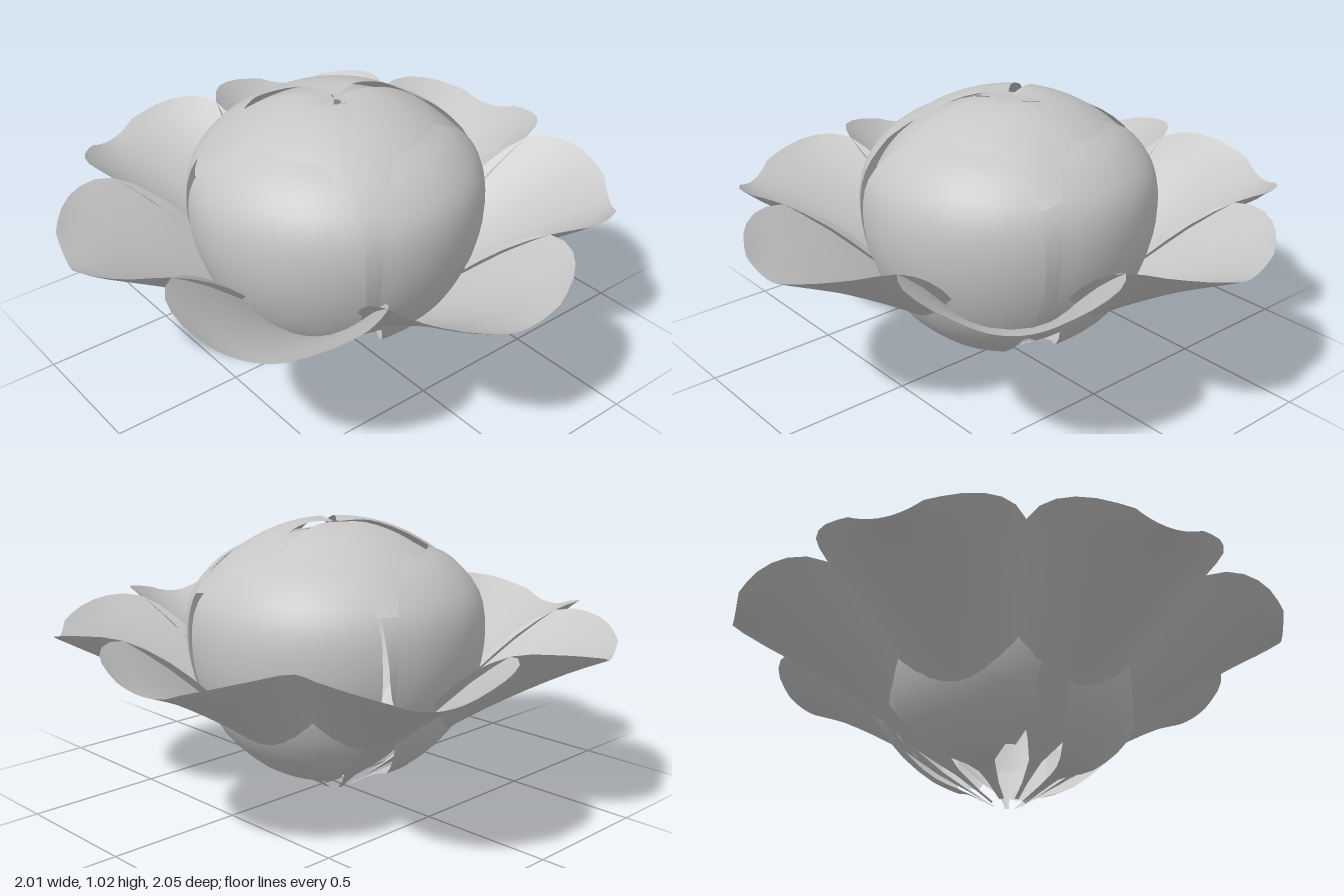
import * as THREE from 'three';

const DEG = Math.PI / 180;

// Smoothly resample a short table of cross-sections
function resample(rows, steps) {
  const out = [];
  for (let i = 0; i <= steps; i++) {
    const t = (i / steps) * (rows.length - 1);
    const k = Math.min(Math.floor(t), rows.length - 2), f = t - k;
    const at = (n) => rows[Math.max(0, Math.min(rows.length - 1, n))];
    out.push(rows[k].map((_, c) => {
      const [a, b, d, e] = [at(k - 1)[c], at(k)[c], at(k + 1)[c], at(k + 2)[c]];
      return b + 0.5 * f * (d - a + f * (2 * a - 5 * b + 4 * d - e + f * (3 * (b - d) + e - a)));
    }));
  }
  return out;
}

// Loft a petal: place(row, s) gives the point at s = -1..1 across a section
function loft(rows, across, place) {
  const pos = [], index = [], n = across + 1;
  rows.forEach((row, i) => {
    for (let j = 0; j < n; j++) {
      pos.push(...place(row, (j / across) * 2 - 1));
      if (i && j) {
        const d = i * n + j, c = d - 1, b = d - n, a = b - 1;
        index.push(a, b, c, b, d, c);
      }
    }
  });
  const geo = new THREE.BufferGeometry();
  geo.setAttribute('position', new THREE.Float32BufferAttribute(pos, 3));
  geo.setIndex(index);
  geo.computeVertexNormals();
  return geo;
}

// Petal wrapped around the bud: rows of radius, height, half angle in degrees
const wrapped = ([r, y, half], s) => {
  const a = s * half * DEG;
  return [r * Math.cos(a), y, r * Math.sin(a)];
};

// Spreading petal: rows of radius, height, half width, lift of the edges
const cupped = ([r, y, half, lift], s) => [r, y + lift * s * s, s * half];

export function createModel() {
  const flower = new THREE.Group();
  flower.name = 'flower';
  const material = new THREE.MeshStandardMaterial({ color: 0xc6c6c6, side: THREE.DoubleSide });
  material.name = 'petalGrey';

  const ring = (name, geometry, count, startDeg) => {
    const group = new THREE.Group();
    group.name = name + 's';
    for (let i = 0; i < count; i++) {
      const petal = new THREE.Mesh(geometry, material);
      petal.name = name;
      petal.rotation.y = -(startDeg + (i * 360) / count) * DEG;
      group.add(petal);
    }
    flower.add(group);
  };

  // Seven open petals, narrowing to thin stalks at the base
  ring('outerPetal', loft(resample([
    [0.06, 0, 0.008, 0], [0.19, 0.09, 0.025, 0.01], [0.31, 0.17, 0.12, 0.05],
    [0.45, 0.28, 0.25, 0.15], [0.6, 0.38, 0.32, 0.2], [0.75, 0.47, 0.36, 0.2],
    [0.88, 0.54, 0.33, 0.14], [0.97, 0.58, 0.24, 0.08], [1.02, 0.6, 0.13, 0.03],
  ], 16), 10, cupped), 7, 1.5);

  // Four petals forming the round bud
  ring('budPetal', loft(resample([
    [0.06, 0, 6], [0.18, 0.07, 9], [0.31, 0.13, 27], [0.45, 0.27, 37],
    [0.53, 0.45, 42], [0.555, 0.62, 42], [0.53, 0.76, 41], [0.44, 0.87, 36], [0.34, 0.93, 22],
  ], 24), 14, wrapped), 4, 70);

  // Inner petals seen through the gaps
  ring('innerPetal', loft(resample([
    [0.25, 0.13, 20], [0.4, 0.26, 38], [0.48, 0.45, 52],
    [0.51, 0.62, 56], [0.48, 0.76, 58], [0.36, 0.89, 58], [0.18, 0.97, 58], [0.02, 0.99, 58],
  ], 20), 14, wrapped), 3, 28);

  // Three cap petals meeting at the top
  ring('capPetal', loft(resample([
    [0.015, 1.015, 40], [0.12, 1.02, 47], [0.24, 0.985, 52], [0.35, 0.925, 51],
    [0.43, 0.86, 47], [0.49, 0.8, 40], [0.52, 0.77, 26],
  ], 18), 14, wrapped), 3, 88);

  flower.position.x = -0.02;
  const model = new THREE.Group();
  model.name = 'model';
  model.add(flower);
  return model;
}
